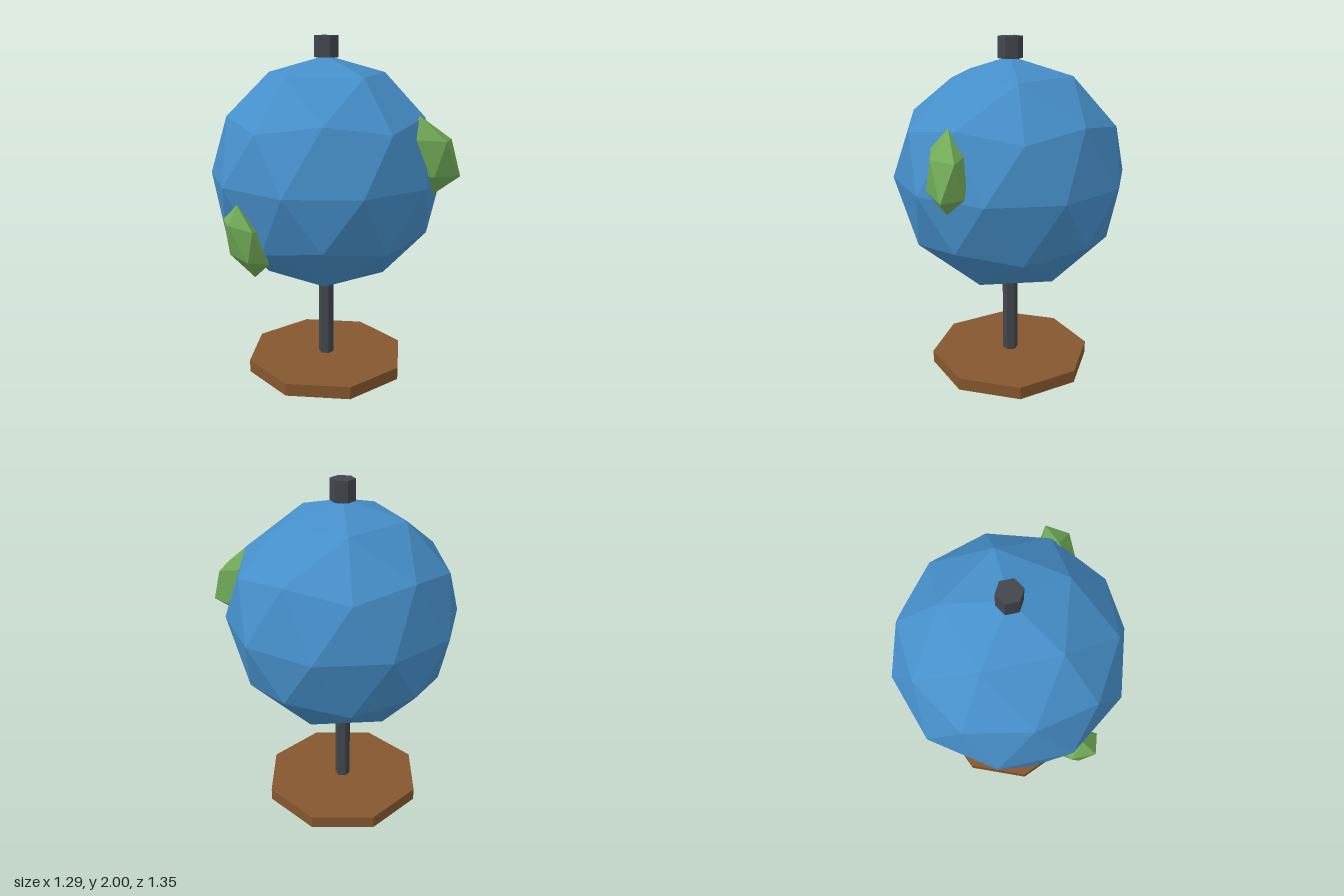
import * as THREE from 'three';

const flat = (name, color) => {
  const m = new THREE.MeshStandardMaterial({ color, flatShading: true });
  m.name = name;
  return m;
};

// Icosphere with its poles on the y axis and an upper-ring corner on +x
function poledIcosphere(radius, detail) {
  const g = new THREE.IcosahedronGeometry(radius, detail);
  g.rotateZ(-Math.atan(2 / (1 + Math.sqrt(5))));
  return g;
}

// Prism standing between two heights
function prism(radius, y0, y1, sides) {
  const g = new THREE.CylinderGeometry(radius, radius, y1 - y0, sides);
  g.translate(0, (y0 + y1) / 2, 0);
  return g;
}

// Stretched, leaning icosahedron: spin about its pole, then three half axes
function land(spin, centre, xAxis, yAxis, zAxis) {
  const g = poledIcosphere(1, 0);
  g.rotateY(spin);
  const v = (a) => new THREE.Vector3(...a);
  g.applyMatrix4(new THREE.Matrix4()
    .makeBasis(v(xAxis), v(yAxis), v(zAxis))
    .setPosition(v(centre)));
  g.computeVertexNormals();
  return g;
}

export function createModel() {
  const group = new THREE.Group();
  group.name = 'deskGlobe';

  const wood = flat('brown wood', 0x85572e);
  const metal = flat('dark metal', 0x42474c);
  const ocean = flat('ocean blue', 0x468fca);
  const green = flat('land green', 0x72ac58);

  const add = (name, geometry, material) => {
    const mesh = new THREE.Mesh(geometry, material);
    mesh.name = name;
    group.add(mesh);
    return mesh;
  };

  // Stand
  add('base', prism(0.485, 0, 0.075, 8), wood);
  add('pole', prism(0.046, 0.07, 0.58, 6), metal);
  add('topCap', prism(0.071, 1.88, 2, 6), metal);

  // Ball
  const ball = poledIcosphere(0.675, 1);
  ball.translate(0, 1.215, 0);
  add('globe', ball, ocean);

  // Land masses, half sunk into the ball
  add('leftLand', land(THREE.MathUtils.degToRad(13), [0.462, 1.36, 0.379],
    [0.207, -0.02, 0], [-0.038, 0.22, -0.01], [0, 0, 0.122]), green);
  add('rightLand', land(0, [-0.533, 0.925, 0.28],
    [0.122, -0.035, 0], [-0.045, 0.21, 0.005], [0, 0, 0.135]), green);

  group.position.x = -0.003;
  return group;
}
